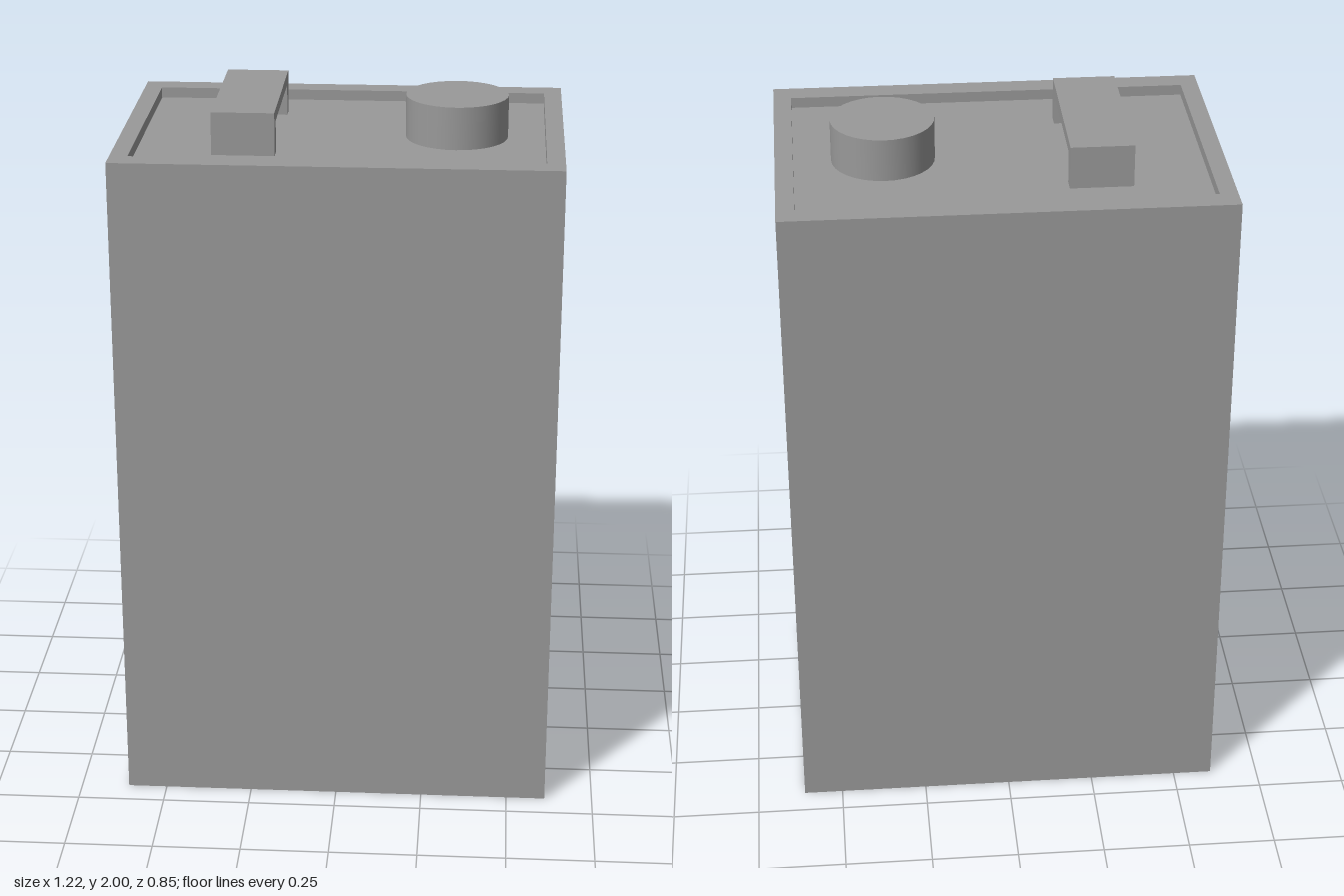
import * as THREE from 'three';

const RIM_Y = 1.91, FLOOR_Y = 1.88, TOP_Y = 2;

// Closed flat-faced solid from rectangular rings [halfWidth, halfDepth, y]
function ringSolid(rings) {
  const corners = [[1, 1], [1, -1], [-1, -1], [-1, 1]];
  const positions = [];
  const point = ([w, d, y], i) => [w * corners[i % 4][0], y, d * corners[i % 4][1]];
  for (let r = 0; r < rings.length - 1; r++) {
    const low = rings[r], high = rings[r + 1];
    for (let i = 0; i < 4; i++) {
      const a = point(low, i), b = point(low, i + 1);
      const c = point(high, i + 1), d = point(high, i);
      if (low[0] > 0) positions.push(...a, ...b, ...c);
      if (high[0] > 0) positions.push(...a, ...c, ...d);
    }
  }
  const geometry = new THREE.BufferGeometry();
  geometry.setAttribute('position', new THREE.Float32BufferAttribute(positions, 3));
  geometry.computeVertexNormals();
  return geometry;
}

export function createModel() {
  const model = new THREE.Group();
  model.name = 'canister';
  const grey = new THREE.MeshStandardMaterial({ color: 0x999999 });
  grey.name = 'grey';

  const add = (name, geometry, x = 0, y = 0, z = 0) => {
    const mesh = new THREE.Mesh(geometry, grey);
    mesh.name = name;
    mesh.position.set(x, y, z);
    model.add(mesh);
  };

  // Body with a raised rim around a sunken top
  add('body', ringSolid([
    [0, 0, 0],
    [0.612, 0.423, 0],
    [0.612, 0.423, RIM_Y],
    [0.562, 0.356, RIM_Y],
    [0.562, 0.356, FLOOR_Y],
    [0, 0, FLOOR_Y],
  ]));

  // Round filler cap
  const capHeight = TOP_Y - FLOOR_Y;
  add('cap', new THREE.CylinderGeometry(0.143, 0.143, capHeight, 32), 0.315, FLOOR_Y + capHeight / 2, 0);

  // Bridge-shaped carrying handle, profile in the z-y plane
  const outer = 0.23, inner = 0.188, under = 1.968;
  const profile = new THREE.Shape([
    [-outer, FLOOR_Y], [-inner, FLOOR_Y], [-inner, under], [inner, under],
    [inner, FLOOR_Y], [outer, FLOOR_Y], [outer, TOP_Y], [-outer, TOP_Y],
  ].map(([z, y]) => new THREE.Vector2(z, y)));
  const handle = new THREE.ExtrudeGeometry(profile, { depth: 0.174, bevelEnabled: false });
  handle.rotateY(Math.PI / 2);
  add('handle', handle, -0.351, 0, 0);

  return model;
}
